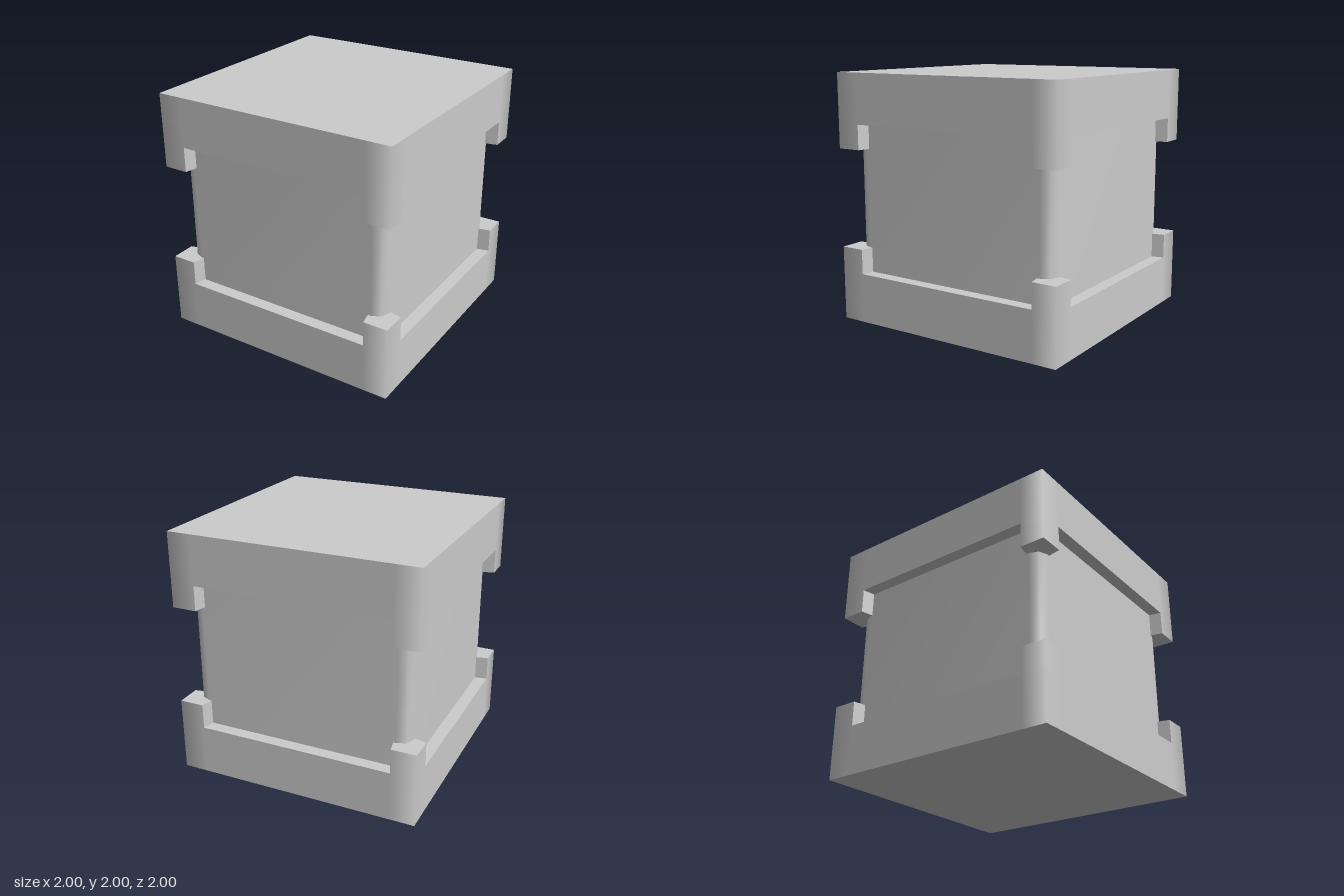
import * as THREE from 'three';

const grey = new THREE.MeshStandardMaterial({ color: 0xcccccc });
grey.name = 'plain grey';

// Upright prism from a plan outline; normals are blended at the outer corners.
function prism(outline, height) {
  const shape = new THREE.Shape(outline.map(([x, y]) => new THREE.Vector2(x, y)));
  const geo = new THREE.ExtrudeGeometry(shape, { depth: height, bevelEnabled: false });
  geo.rotateX(-Math.PI / 2);
  const p = geo.attributes.position, n = geo.attributes.normal;
  for (let i = 0; i < p.count; i++) {
    const x = p.getX(i), z = p.getZ(i);
    if (Math.abs(n.getY(i)) < 0.5 && Math.abs(x) > 0.99 && Math.abs(z) > 0.99) {
      n.setXYZ(i, Math.sign(x) * Math.SQRT1_2, 0, Math.sign(z) * Math.SQRT1_2);
    }
  }
  return geo;
}

// Smooth wall of the core: a square plan with two-step rounded corners.
function coreWall(half, radius, y0, y1) {
  const pos = [], index = [], count = 12;
  for (let q = 0; q < 4; q++) {
    const mid = Math.PI / 4 + q * Math.PI / 2;
    const cx = Math.sign(Math.cos(mid)) * (half - radius);
    const cz = Math.sign(Math.sin(mid)) * (half - radius);
    for (let s = 0; s < 3; s++) {
      const a = (q + s / 2) * Math.PI / 2;
      const x = cx + radius * Math.cos(a), z = cz + radius * Math.sin(a);
      pos.push(x, y0, z, x, y1, z);
    }
  }
  for (let i = 0; i < count; i++) {
    const b = 2 * i, t = b + 1, b2 = 2 * ((i + 1) % count), t2 = b2 + 1;
    index.push(b, t, b2, t, t2, b2);
  }
  const geo = new THREE.BufferGeometry();
  geo.setAttribute('position', new THREE.Float32BufferAttribute(pos, 3));
  geo.setIndex(index);
  geo.computeVertexNormals();
  return geo;
}

export function createModel() {
  const model = new THREE.Group();
  model.name = 'crate';

  const core = new THREE.Mesh(coreWall(0.9, 0.1, 0.4, 1.6), grey);
  core.name = 'core';
  model.add(core);

  // Slab outline is split near the corners so only the ends shade softly.
  const slabGeo = prism([
    [1, -1], [1, -0.8], [1, 0.8], [1, 1], [0.8, 1], [-0.8, 1],
    [-1, 1], [-1, 0.8], [-1, -0.8], [-1, -1], [-0.8, -1], [0.8, -1],
  ], 0.4);
  // Corner block with slightly slanted inner cheeks.
  const blockGeo = prism([
    [1, 1], [0.8, 1], [0.78, 0.9], [0.78, 0.78], [0.9, 0.78], [1, 0.8],
  ], 0.2);

  for (const [name, slabY, blockY] of [['bottom', 0, 0.4], ['top', 1.6, 1.4]]) {
    const frame = new THREE.Group();
    frame.name = name + 'Frame';
    const slab = new THREE.Mesh(slabGeo, grey);
    slab.name = name + 'Slab';
    slab.position.y = slabY;
    frame.add(slab);
    for (let i = 0; i < 4; i++) {
      const block = new THREE.Mesh(blockGeo, grey);
      block.name = name + 'CornerBlock' + (i + 1);
      block.position.y = blockY;
      block.rotation.y = i * Math.PI / 2;
      frame.add(block);
    }
    model.add(frame);
  }
  return model;
}
